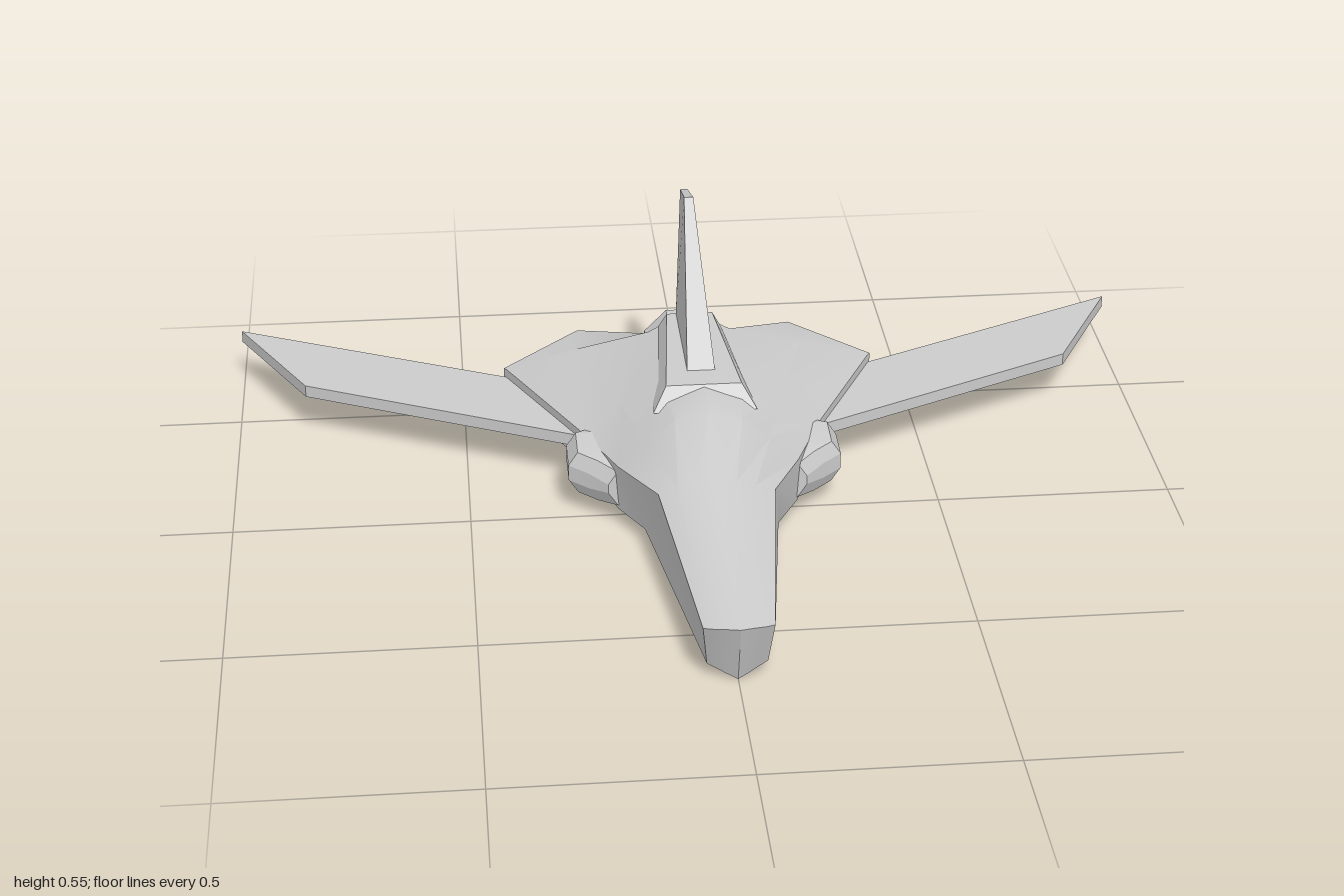
import * as THREE from 'three';
import { toCreasedNormals } from 'three/addons/utils/BufferGeometryUtils.js';

const grey = new THREE.MeshStandardMaterial({ color: 0xcccccc });

// Closed skin over a list of rings; each ring runs clockwise seen from the first end.
function loft(rings, crease = 0.1) {
  const n = rings[0].length, m = n / 2, pos = [];
  const quad = (a, b, c, d) => pos.push(...a, ...b, ...c, ...a, ...c, ...d);
  for (let i = 0; i < rings.length - 1; i++)
    for (let j = 0; j < n; j++) {
      const k = (j + 1) % n;
      quad(rings[i][j], rings[i][k], rings[i + 1][k], rings[i + 1][j]);
    }
  // end caps, in strips that join the upper points to the lower ones
  const first = rings[0], last = rings[rings.length - 1], w = (k) => (k + n) % n;
  for (let k = -Math.floor(m / 2); k < Math.floor(m / 2); k++) {
    const q = [w(k), w(k + 1), w(m - k - 1), w(m - k)];
    quad(...q.map((i) => last[i]));
    quad(...q.reverse().map((i) => first[i]));
  }
  const geo = new THREE.BufferGeometry();
  geo.setAttribute('position', new THREE.Float32BufferAttribute(pos, 3));
  geo.computeVertexNormals();
  return toCreasedNormals(geo, crease);
}

const flip = ([x, y, z]) => [-x, y, z];
const mirrorRing = (ring) => ring.map(flip).reverse();
const fullRing = (half) => [...half, ...half.slice(1, -1).reverse().map(flip)];
// four-cornered ring lying level, clockwise seen from above
const slab = (y, wBack, zBack, wFront, zFront, yBack = y) => [
  [-wBack, yBack, zBack], [wBack, yBack, zBack], [wFront, y, zFront], [-wFront, y, zFront]];

export function createModel() {
  const model = new THREE.Group();
  const add = (name, geo, mat = grey) => {
    const mesh = new THREE.Mesh(geo, mat);
    mesh.name = name;
    model.add(mesh);
  };

  // Hull: half sections from top centre round the +x side to bottom centre, nose to tail
  const hull = [
    [[0, .14, .715], [.03, .138, .706], [.05, .136, .7], [.07, .13, .685],
      [.06, .032, .655], [.04, .022, .66], [.025, .014, .664], [0, .002, .67]],
    [[0, .205, .24], [.04, .2, .24], [.08, .192, .24], [.12, .18, .24],
      [.14, .038, .13], [.09, .028, .14], [.05, .018, .15], [0, .004, .17]],
    [[0, .275, .06], [.07, .255, .06], [.13, .205, .06], [.19, .15, .06],
      [.19, .04, .04], [.13, .033, .04], [.07, .024, .04], [0, .007, .04]],
    [[0, .278, -.13], [.09, .25, -.13], [.17, .195, -.13], [.26, .14, -.13],
      [.26, .07, -.13], [.2, .04, -.13], [.09, .03, -.13], [0, .012, -.13]],
    [[0, .275, -.42], [.09, .235, -.4], [.25, .19, -.42], [.405, .142, -.43],
      [.405, .073, -.43], [.3, .04, -.43], [.1, .035, -.42], [0, .018, -.41]],
    [[0, .21, -.45], [.07, .2, -.46], [.24, .165, -.565], [.41, .14, -.44],
      [.41, .075, -.44], [.24, .04, -.565], [.07, .035, -.46], [0, .022, -.44]],
  ];
  add('hull', loft(hull.map(fullRing), 0.45));

  // Side pods and swept wings
  const pod = [[.21, .045, .05, .13], [.25, .01, .045, .14], [.29, -.02, .05, .145],
    [.29, -.1, .05, .15], [.27, -.12, .05, .145]].map(([x, z, lo, hi]) => [
    [.17, hi, z], [x - .02, hi, z], [x, hi - .03, z],
    [x, lo + .03, z], [x - .02, lo, z], [.17, lo, z]]);
  const wingPlan = [[.36, -.41], [1, -.72], [.85, -.43], [.2, -.11]];
  const wing = [.122, .095].map((y) => wingPlan.map(([x, z]) => [x, y, z]));
  for (const [side, place] of [['left', (r) => r], ['right', mirrorRing]]) {
    add(side + 'Pod', loft(pod.map(place), 0.3));
    add(side + 'Wing', loft(wing.map(place)));
  }

  // Spine block and tail fin
  add('spineBlock', loft([slab(.281, .05, -.392, .08, -.045), slab(.235, .08, -.415, .11, -.01, .22)]));
  add('tailFin', loft([slab(.555, .008, -.525, .01, -.4, .52), slab(.275, .03, -.392, .03, -.105)]));

  // Hollow eight-sided engine nozzle
  const profile = [[0, .42], [.085, .44], [.055, .515], [.09, .56], [.092, .6],
    [.072, .6], [.062, .54], [0, .53]].map(([r, y]) => new THREE.Vector2(r, y));
  const nozzle = new THREE.LatheGeometry(profile, 8, Math.PI / 8);
  nozzle.rotateX(-Math.PI / 2).translate(0, .105, 0);
  add('nozzle', nozzle, new THREE.MeshStandardMaterial({
    color: 0xcccccc, flatShading: true, side: THREE.DoubleSide }));
  return model;
}
